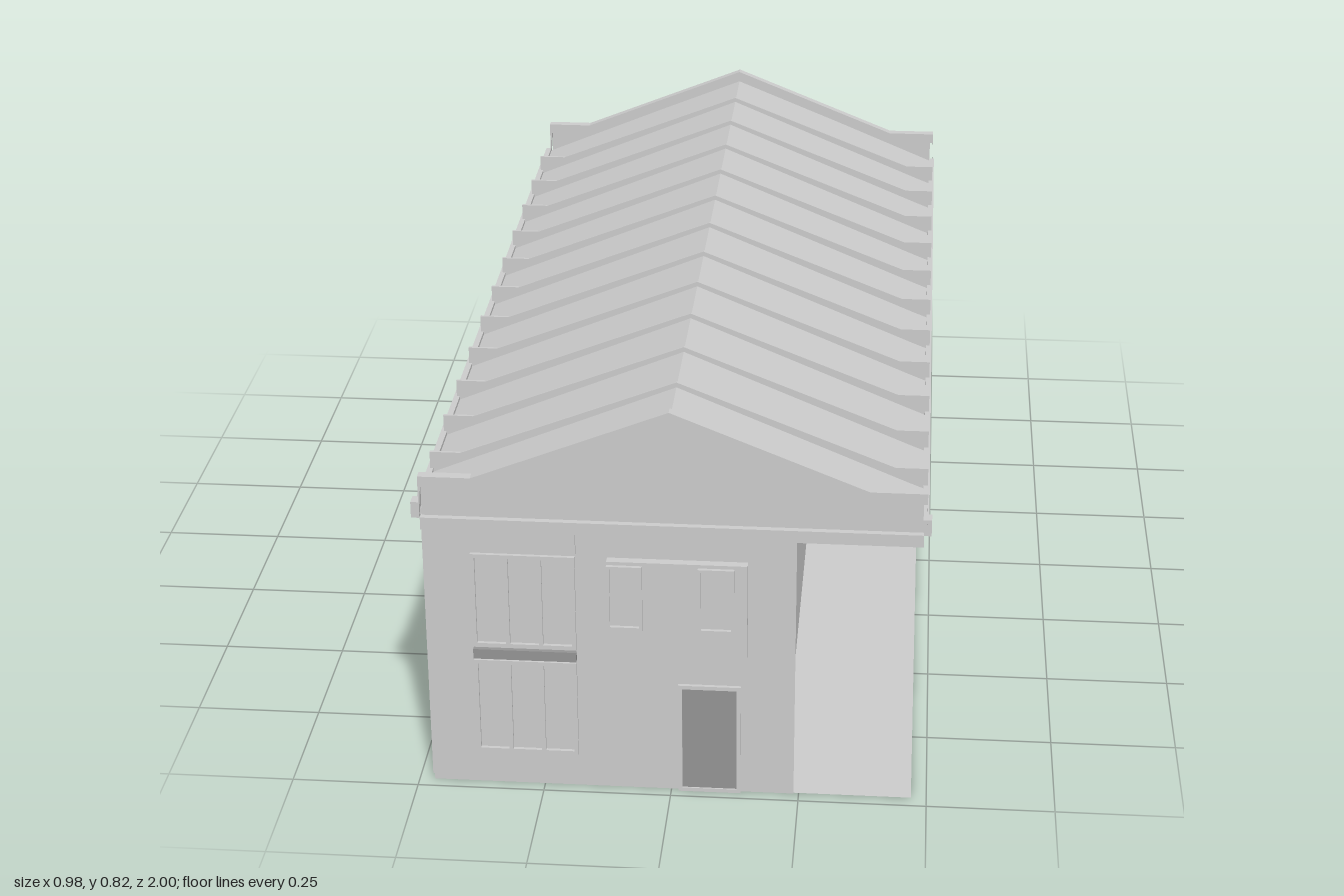
import * as THREE from 'three';

const grey = new THREE.MeshStandardMaterial({ color: 0xcccccc, side: THREE.DoubleSide });
grey.name = 'light grey';
const shade = new THREE.MeshStandardMaterial({ color: 0x949494, side: THREE.DoubleSide });
shade.name = 'mid grey';
const dark = new THREE.MeshStandardMaterial({ color: 0x2c2c2c });
dark.name = 'near black';
const wallGrey = new THREE.MeshStandardMaterial({ color: 0xcccccc });
wallGrey.name = 'wall grey';

export function createModel() {
  const model = new THREE.Group();
  const add = (name, geometry, material = grey) => {
    const mesh = new THREE.Mesh(geometry, material);
    mesh.name = name;
    model.add(mesh);
    return mesh;
  };
  // box from its corner limits
  const box = (name, x0, x1, y0, y1, z0, z1, material) => {
    const g = new THREE.BoxGeometry(x1 - x0, y1 - y0, z1 - z0);
    g.translate((x0 + x1) / 2, (y0 + y1) / 2, (z0 + z1) / 2);
    return add(name, g, material);
  };
  // single-sided walls along a run of [x, z] points, outside on the left of travel
  const walls = (name, run, y0, y1, material = wallGrey) => {
    const pos = [];
    for (let i = 0; i + 1 < run.length; i++) {
      const [ax, az] = run[i], [bx, bz] = run[i + 1];
      pos.push(ax, y0, az, bx, y0, bz, bx, y1, bz, ax, y0, az, bx, y1, bz, ax, y1, az);
    }
    const g = new THREE.BufferGeometry();
    g.setAttribute('position', new THREE.Float32BufferAttribute(pos, 3));
    g.computeVertexNormals();
    return add(name, g, material);
  };
  const shapeOf = pts => new THREE.Shape(pts.map(p => new THREE.Vector2(p[0], p[1])));
  const slab = (name, pts, y) => {
    const g = new THREE.ShapeGeometry(shapeOf(pts));
    g.rotateX(Math.PI / 2);
    g.translate(0, y, 0);
    return add(name, g);
  };
  const profile = (name, pts, z0, z1) => {
    const g = new THREE.ExtrudeGeometry(shapeOf(pts), { depth: z1 - z0, bevelEnabled: false });
    g.translate(0, 0, z0);
    return add(name, g);
  };

  // lower storey, open at the front right passage and hollow at the rear
  const lower = [[0.47, 0.975], [0.47, -0.5], [0.19, -0.5], [0.19, 0.25], [-0.05, 0.25], [-0.05, -0.45],
    [-0.2, -0.45], [-0.2, -0.06], [-0.47, -0.06], [-0.47, 0.975], [0.24, 0.975]];
  walls('lowerWalls', lower, 0, 0.31);
  slab('groundFloor', lower, 0.002);
  walls('passageWall', [[0.47, 0.975], [0.47, 0.25]], 0.31, 0.6);

  // upper storey with the set-back corner
  const upper = [[0.477, 0.25], [0.477, -0.985], [-0.472, -0.985], [-0.472, 0.975], [0.24, 0.975], [0.24, 0.25]];
  walls('upperWalls', upper, 0.31, 0.6);
  walls('setBackWall', [[0.24, 0.25], [0.477, 0.25]], 0.31, 0.57, shade).position.z = 0.002;
  slab('upperFloor', upper, 0.31);
  slab('passageCeiling', [[0.24, 0.25], [0.477, 0.25], [0.477, 0.975], [0.24, 0.975]], 0.57);

  // thin strips on the model's right wall
  for (const z of [-0.75, -0.6, -0.43, 0.03, 0.4, 0.76, 0.95]) {
    box('wallStrip', -0.477, -0.47, z < -0.06 ? 0.31 : 0, 0.6, z - 0.006, z + 0.006);
  }

  // roof slopes and gable ends
  profile('roof', [[-0.48, 0.6], [0, 0.8], [0.48, 0.6], [0.48, 0.588], [0, 0.786], [-0.48, 0.588]], -0.975, 0.975);
  const gable = [[-0.47, 0.57], [0.475, 0.57], [0.475, 0.6], [0, 0.8], [-0.47, 0.6]];
  profile('frontGable', gable, 0.965, 0.972);
  profile('rearGable', gable, -0.985, -0.972);

  // roof ribs, with raised level ends at the eaves
  const rib = (peak, level, z0, z1) => profile('roofRib', [
    [-0.475, 0.59], [-0.475, level], [-0.375, level], [0, peak], [0.375, level], [0.482, level], [0.482, 0.59],
    [0.482, level - 0.022], [0.365, level - 0.022], [0, peak - 0.024], [-0.365, level - 0.022], [-0.47, level - 0.022],
  ], z0, z1);
  const fin = z => profile('roofFin', [
    [-0.48, 0.6], [-0.48, 0.645], [-0.42, 0.645], [0, 0.81], [0.42, 0.645], [0.482, 0.645], [0.482, 0.6], [0, 0.79],
  ], z - 0.003, z + 0.003);
  for (let k = -5; k <= 5; k++) fin(k * 0.1635);
  rib(0.825, 0.675, 0.965, 0.985);
  rib(0.825, 0.675, -0.985, -0.965);
  profile('rearParapet', [[-0.47, 0.59], [-0.47, 0.66], [-0.37, 0.66], [0, 0.81], [0.37, 0.66], [0.475, 0.66],
    [0.475, 0.59]], -0.984, -0.976);
  profile('frontParapet', [[-0.47, 0.59], [-0.47, 0.66], [-0.37, 0.66], [0, 0.81], [0.37, 0.66], [0.475, 0.66],
    [0.475, 0.59]], 0.973, 0.98);

  // cornice and gutters
  box('cornice', -0.472, 0.477, 0.567, 0.592, 0.96, 0.992);
  box('windowHead', -0.472, -0.18, 0.518, 0.567, 0.97, 0.982);
  for (const s of [-1, 1]) {
    box('gutter', s * 0.48 - 0.006, s * 0.48 + 0.006, 0.592, 0.61, -0.97, 0.97);
    box('gutterEnd', s * 0.483 - 0.008, s * 0.483 + 0.008, 0.585, 0.618, 0.955, 0.98);
  }

  // window frame with dividing bars; z is the wall face, dir the side it faces
  const frame = (name, x0, x1, y0, y1, z, dir, panes, w = 0.008) => {
    const z0 = Math.min(z, z + dir * 0.007), z1 = Math.max(z, z + dir * 0.007);
    box(name + 'Sill', x0, x1, y0, y0 + w, z0, z1);
    box(name + 'Head', x0, x1, y1 - w, y1, z0, z1);
    for (let i = 0; i <= panes; i++) {
      const x = x0 + w / 2 + (x1 - x0 - w) * i / panes;
      box(name + 'Bar', x - w / 2, x + w / 2, y0, y1, z0, z1);
    }
  };

  // front windows
  frame('upperWindow', -0.382, -0.182, 0.31, 0.512, 0.975, 1, 3);
  frame('lowerWindow', -0.382, -0.182, 0.073, 0.28, 0.975, 1, 3);
  box('windowBand', -0.382, -0.182, 0.284, 0.305, 0.97, 0.984, shade);
  box('frontPanel', -0.12, 0.148, 0.31, 0.512, 0.97, 0.992);
  frame('smallWindow', -0.12, -0.052, 0.368, 0.505, 0.992, 1, 1, 0.006);
  frame('smallWindow', 0.054, 0.124, 0.368, 0.505, 0.992, 1, 1, 0.006);

  // front door
  frame('doorFrame', 0.014, 0.136, 0, 0.24, 0.975, 1, 1);
  box('door', 0.022, 0.128, 0.008, 0.232, 0.974, 0.979, shade);

  // rear glazing band with sliding doors and small windows
  box('rearGlazing', -0.38, 0.39, 0.315, 0.53, -0.991, -0.984, dark);
  for (const [x0, x1] of [[0.18, 0.39], [-0.38, -0.17]]) {
    frame('slidingDoor', x0, x1, 0.315, 0.53, -0.991, -1, 2, 0.01);
    box('doorBlind', x0, x1, 0.495, 0.52, -0.995, -0.99);
  }
  for (const x of [0.09, -0.07]) {
    frame('rearWindow', x - 0.042, x + 0.042, 0.365, 0.495, -0.991, -1, 1, 0.014);
    box('rearWindowBar', x - 0.04, x + 0.04, 0.425, 0.437, -0.997, -0.99);
  }

  // round vent in the rear gable
  const vent = new THREE.CylinderGeometry(0.012, 0.012, 0.008, 16);
  vent.rotateX(Math.PI / 2);
  vent.translate(0, 0.6, -0.988);
  add('gableVent', vent, shade);

  return model;
}
